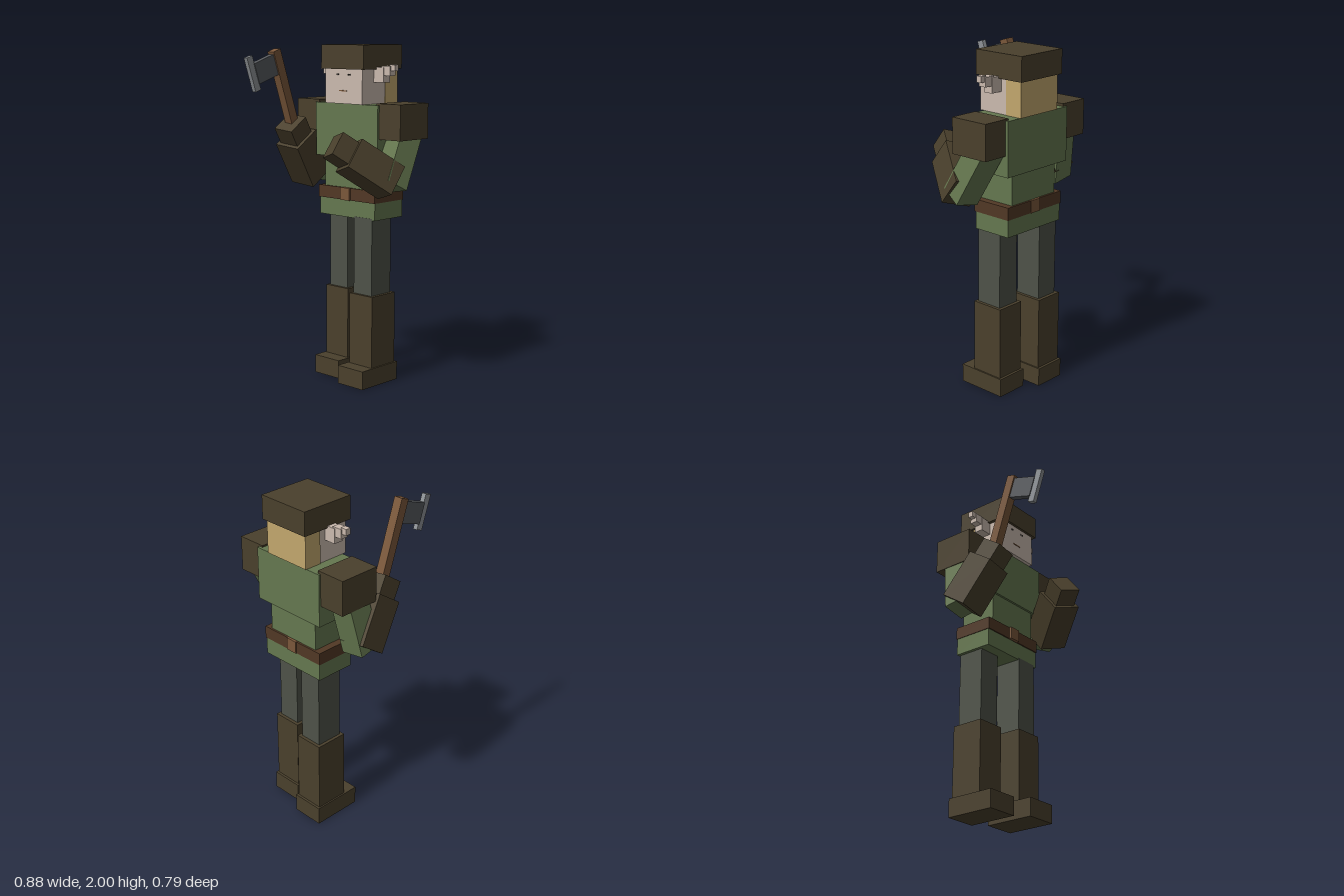
import * as THREE from 'three';

const mat = (name, color) => {
  const m = new THREE.MeshStandardMaterial({ color });
  m.name = name;
  return m;
};

export function createModel() {
  const root = new THREE.Group();
  root.name = 'woodsman';
  const brown = mat('dark leather', 0x4a402c);
  const green = mat('green cloth', 0x65774f);
  const grey = mat('grey trousers', 0x4e5248);
  const skin = mat('skin', 0xcabaae);
  const hairMat = mat('blond hair', 0xc2a76d);
  const beltMat = mat('belt leather', 0x513825);
  const wood = mat('wood', 0x7a573a);
  const steel = mat('dark steel', 0x56595d);
  const edge = mat('sharpened steel', 0x8e9296);
  const dark = mat('eye dark', 0x2e2a24);

  // Box given by its extents on each axis
  const box = (name, material, [x0, x1], [y0, y1], [z0, z1], parent = root) => {
    const mesh = new THREE.Mesh(new THREE.BoxGeometry(x1 - x0, y1 - y0, z1 - z0), material);
    mesh.position.set((x0 + x1) / 2, (y0 + y1) / 2, (z0 + z1) / 2);
    mesh.name = name;
    parent.add(mesh);
    return mesh;
  };

  // Group whose local y runs along `along` and local z roughly along `front`
  const frame = (name, at, along, front) => {
    const g = new THREE.Group();
    const y = new THREE.Vector3(...along).normalize();
    const x = y.clone().cross(new THREE.Vector3(...front)).normalize();
    const z = x.clone().cross(y);
    g.quaternion.setFromRotationMatrix(new THREE.Matrix4().makeBasis(x, y, z));
    g.position.set(...at);
    g.name = name;
    root.add(g);
    return g;
  };

  // Hat, head and hair
  box('hat', brown, [-0.145, 0.188], [1.86, 2.0], [-0.395, -0.06]);
  box('head', skin, [-0.125, 0.167], [1.66, 1.87], [-0.36, -0.075]);
  box('hair', hairMat, [-0.13, 0.172], [1.66, 1.87], [-0.378, -0.27]);

  // Face
  for (const x of [-0.025, 0.065]) {
    box('eyeInner', dark, [x - 0.009, x - 0.003], [1.825, 1.833], [-0.077, -0.072]);
    box('eyeOuter', dark, [x + 0.003, x + 0.009], [1.825, 1.833], [-0.077, -0.072]);
  }
  box('mouth', wood, [-0.012, 0.048], [1.732, 1.738], [-0.077, -0.072]);

  // Stepped pointed ears, mirrored about the middle of the head
  for (const s of [-1, 1]) {
    const ear = new THREE.Group();
    ear.name = s > 0 ? 'leftEar' : 'rightEar';
    ear.position.x = 0.021;
    root.add(ear);
    const part = (name, a, b, y, z) =>
      box(name, skin, s > 0 ? [a, b] : [-b, -a], y, z, ear);
    part('earBase', 0.13, 0.22, [1.785, 1.872], [-0.23, -0.173]);
    part('earMiddle', 0.2, 0.265, [1.825, 1.88], [-0.226, -0.178]);
    part('earTip', 0.255, 0.294, [1.852, 1.888], [-0.219, -0.186]);
  }

  // Tunic and belt
  box('chest', green, [-0.225, 0.267], [1.345, 1.66], [-0.372, -0.097]);
  box('waist', green, [-0.16, 0.2], [1.15, 1.36], [-0.342, -0.11]);
  box('tunicSkirt', green, [-0.2, 0.24], [0.99, 1.1], [-0.35, -0.107]);
  box('belt', beltMat, [-0.204, 0.244], [1.092, 1.165], [-0.354, -0.1]);
  box('frontBuckle', wood, [-0.017, 0.055], [1.092, 1.166], [-0.11, -0.086]);
  box('backBuckle', wood, [-0.017, 0.055], [1.092, 1.166], [-0.36, -0.345]);

  // Legs: the left one a step ahead
  for (const [side, x, z] of [['left', 0.149, -0.188], ['right', -0.109, -0.257]]) {
    box(side + 'Leg', grey, [x - 0.071, x + 0.071], [0.5, 1.0], [z - 0.083, z + 0.083]);
    box(side + 'Boot', brown, [x - 0.09, x + 0.09], [0.05, 0.54], [z - 0.103, z + 0.1]);
    box(side + 'Foot', brown, [x - 0.099, x + 0.099], [0, 0.11], [z - 0.118, z + 0.19]);
  }

  // Shoulder pads
  box('leftShoulderPad', brown, [0.245, 0.425], [1.465, 1.67], [-0.355, -0.11]);
  box('rightShoulderPad', brown, [-0.39, -0.204], [1.47, 1.676], [-0.36, -0.105]);

  // Upper arms: box from shoulder to elbow
  const upperArm = (name, a, b, front) => {
    const A = new THREE.Vector3(...a), B = new THREE.Vector3(...b);
    const g = frame(name, A.clone().add(B).multiplyScalar(0.5).toArray(), A.clone().sub(B).toArray(), front);
    const h = A.distanceTo(B) / 2;
    box('sleeve', green, [-0.073, 0.073], [-h, h], [-0.073, 0.073], g);
  };
  upperArm('leftUpperArm', [0.325, 1.52, -0.275], [0.355, 1.205, -0.1], [-0.2, 0.4, 0.9]);
  upperArm('rightUpperArm', [-0.3, 1.56, -0.24], [-0.35, 1.19, -0.175], [0.05, 0.15, 1]);

  // Forearms with gloved hands
  const forearm = (name, at, along, front) => {
    const g = frame(name, at, along, front);
    box('gauntlet', brown, [-0.0875, 0.0875], [-0.15, 0.15], [-0.0935, 0.0935], g);
    box('hand', brown, [-0.067, 0.067], [0.14, 0.26], [-0.072, 0.072], g);
  };
  forearm('leftForearm', [0.289, 1.305, -0.012], [-0.444, 0.551, 0.708], [0, -0.79, 0.615]);
  forearm('rightForearm', [-0.332, 1.326, -0.098], [0.123, 0.82, 0.56], [0, -0.56, 0.83]);

  // Axe: origin at the top of the handle, blade forward
  const axe = frame('axe', [-0.307, 1.967, 0.168], [0, 0.949, 0.316], [0, -0.316, 0.949]);
  box('axeHandle', wood, [-0.027, 0.027], [-0.47, 0], [-0.028, 0.028], axe);
  box('axeBlade', steel, [-0.019, 0.019], [-0.14, -0.016], [0.02, 0.185], axe);
  box('axeEdge', edge, [-0.014, 0.014], [-0.175, 0.031], [0.181, 0.224], axe);

  return root;
}
